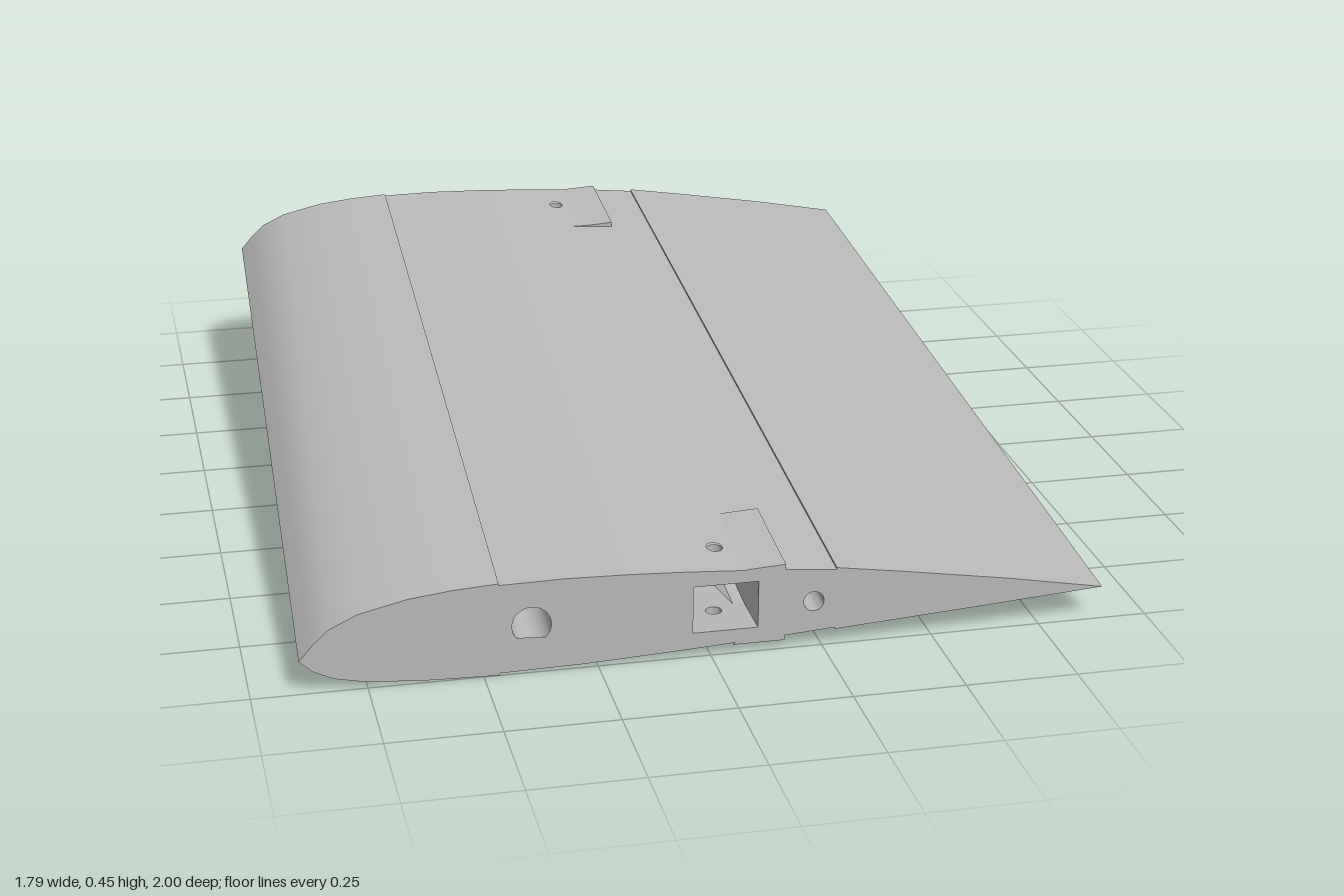
import * as THREE from 'three';
import { mergeGeometries, toCreasedNormals } from 'three/addons/utils/BufferGeometryUtils.js';

// Root aerofoil, nose to tail; the middle panel is slightly recessed
const LOWER = {
  nose: [[-.895, .08], [-.865, .053], [-.82, .032], [-.75, .017], [-.61, .007], [-.465, .003]],
  middle: [[-.465, .003], [-.465, .008], [-.28, .011], [-.06, .021], [.165, .034], [.28, .042], [.28, .038]],
  tail: [[.28, .038], [.58, .058], [.895, .08]],
};
const UPPER = {
  tail: [[.895, .08], [.68, .121], [.44, .161], [.28, .186]],
  middle: [[.28, .186], [.28, .181], [.165, .193], [-.06, .208], [-.18, .214], [-.325, .218], [-.465, .216], [-.465, .22]],
  nose: [[-.465, .22], [-.565, .214], [-.66, .203], [-.767, .178], [-.83, .148], [-.865, .115], [-.895, .08]],
};
const PIN = { x: .03, z: .9, r: .018 };
const BORES = [{ x: -.395, y: .115, r: .043 }, { x: .23, y: .11, r: .023 }];
const POCKET = [[-.04, .06], [-.04, .17], [.105, .17], [.105, .06]];
const POCKET_END = .76;

// Taper and rise of the section along the span
function place(x, y, z) {
  const t = (1 - z) / 2, s = 1 - .085 * t;
  return [x * s - .005 * t, .08 + (y - .08) * s + .245 * t, z];
}

// Flat shape geometry whose 2D points are moved by a rule
function mapped(shape, rule) {
  const g = new THREE.ShapeGeometry(shape, 24);
  const p = g.attributes.position;
  for (let i = 0; i < p.count; i++) p.setXYZ(i, ...rule(p.getX(i), p.getY(i)));
  g.deleteAttribute('normal');
  g.deleteAttribute('uv');
  return g.toNonIndexed();
}

const polygon = (pts) => new THREE.Shape(pts.map(([x, y]) => new THREE.Vector2(x, y)));

function ring({ x, y, r }, n = 24) {
  return Array.from({ length: n + 1 }, (_, i) => {
    const a = -i / n * Math.PI * 2;
    return [x + r * Math.cos(a), y + r * Math.sin(a)];
  });
}

// Strips between neighbouring section points, pierced where the pins pass
function loft(pts, z0, z1, rule = place, pierced = false) {
  return pts.slice(1).map((b, i) => {
    const a = pts[i], dx = b[0] - a[0];
    const shape = polygon([[0, z0], [1, z0], [1, z1], [0, z1]]);
    const k = (PIN.x - a[0]) / dx;
    if (pierced && Math.abs(dx) > .1 && k > 0 && k < 1) {
      for (const z of [-PIN.z, PIN.z]) {
        if (z < z0 || z > z1) continue;
        const hole = new THREE.Path();
        hole.absellipse(k, z, PIN.r / Math.abs(dx), PIN.r, 0, Math.PI * 2, true);
        shape.holes.push(hole);
      }
    }
    return mapped(shape, (u, z) => rule(a[0] + dx * u, a[1] + (b[1] - a[1]) * u, z));
  });
}

export function createModel() {
  const group = new THREE.Group();
  const grey = new THREE.MeshStandardMaterial({ color: 0xb8b8b8, side: THREE.DoubleSide });
  grey.name = 'light grey';
  const add = (name, geometries) => {
    const mesh = new THREE.Mesh(toCreasedNormals(mergeGeometries(geometries), .45), grey);
    mesh.name = name;
    group.add(mesh);
  };

  // Outer skin in three panels
  for (const part of ['nose', 'middle', 'tail']) {
    add(part + 'Skin', [
      ...loft(LOWER[part], -1, 1, place, true),
      ...loft(UPPER[part], -1, 1, place, true),
    ]);
  }

  // Round spar bores running the whole span
  BORES.forEach((b, i) => add(i ? 'rearBore' : 'frontBore', loft(ring(b), -1, 1)));

  const outline = [LOWER.nose, LOWER.middle, LOWER.tail, UPPER.tail, UPPER.middle, UPPER.nose]
    .flatMap((s) => s.slice(1));

  for (const side of [1, -1]) {
    const end = side > 0 ? 'front' : 'back';
    const z0 = side > 0 ? POCKET_END : -1, z1 = side > 0 ? 1 : -POCKET_END;

    // End rib with its openings
    const rib = polygon(outline);
    for (const h of [...BORES.map((b) => ring(b).slice(0, -1)), POCKET]) {
      rib.holes.push(new THREE.Path(h.map(([x, y]) => new THREE.Vector2(x, y))));
    }
    add(end + 'Rib', [mapped(rib, (x, y) => place(x, y, side))]);

    // Level blind pocket for the joiner
    const level = (x, y, z) => [...place(x, y, side).slice(0, 2), z];
    add(end + 'Pocket', [
      ...loft([...POCKET, POCKET[0]], z0, z1, level, true),
      mapped(polygon(POCKET), (x, y) => level(x, y, side * POCKET_END)),
    ]);

    // Raised wedges around the pocket, above and below
    const wedges = [
      [[.05, .023], [.165, .023], [.165, .045], [.08, .045]],
      [[.12, .18], [.165, .18], [.165, .205], [.075, .2]],
    ];
    add(end + 'PocketBoss', wedges.flatMap((w) => [
      ...loft([...w, w[0]], z0, z1),
      ...[z0, z1].map((z) => mapped(polygon(w), (x, y) => place(x, y, z))),
    ]));

    // Vertical pin holes from the skin into the pocket
    const z = side * PIN.z;
    const [cx] = place(PIN.x, 0, z);
    const spans = [[place(0, .028, z)[1], level(0, .06, z)[1]], [level(0, .17, z)[1], place(0, .2, z)[1]]];
    add(end + 'PinHole', spans.map(([y0, y1]) => {
      const g = new THREE.CylinderGeometry(PIN.r, PIN.r, y1 - y0, 24, 1, true);
      g.translate(cx, (y0 + y1) / 2, z);
      g.deleteAttribute('normal');
      g.deleteAttribute('uv');
      return g.toNonIndexed();
    }));
  }
  return group;
}
